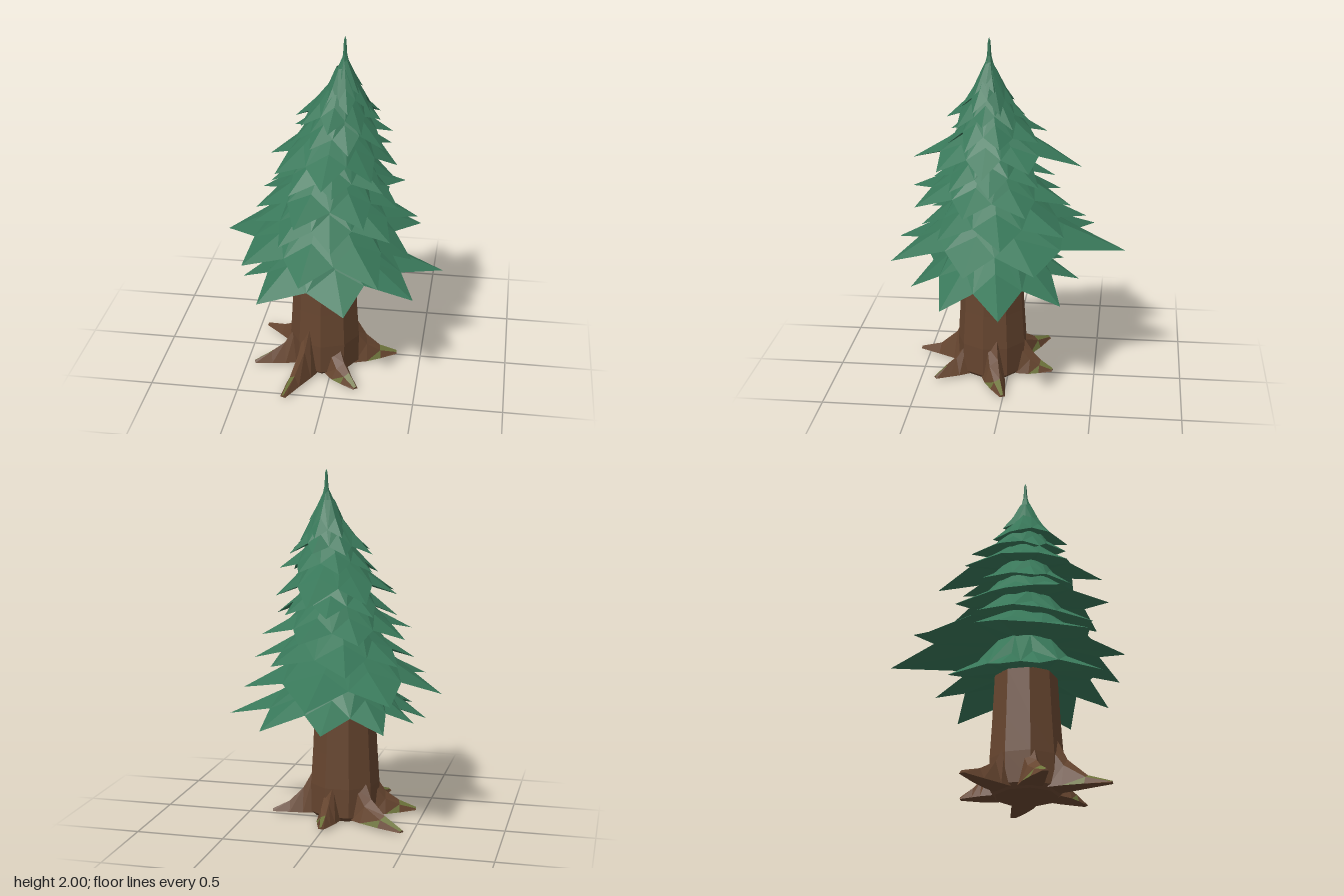
import * as THREE from 'three';

const material = (color) =>
  new THREE.MeshStandardMaterial({ color, flatShading: true, side: THREE.DoubleSide });
const needles = material(0x387759);
const bark = material(0x66452f);
const moss = material(0x6c733a);

// Small seeded generator, -1 to 1
let seed = 7;
const jitter = () => {
  seed = (seed * 16807) % 2147483647;
  return (seed / 2147483647) * 2 - 1;
};

// The trunk stands straight below and sways to its left through the boughs
const axisX = (y) => -0.05 + 0.108 * THREE.MathUtils.smoothstep(y, 0.6, 1.8);
const AXIS_Z = 0.1;
const polar = (angle, radius, y, centreY = y) => [
  axisX(centreY) + Math.sin(angle) * radius, y, AXIS_Z + Math.cos(angle) * radius];

function facesMesh(name, triangles, mat) {
  const geometry = new THREE.BufferGeometry();
  geometry.setAttribute('position', new THREE.Float32BufferAttribute(triangles.flat(2), 3));
  geometry.computeVertexNormals();
  const mesh = new THREE.Mesh(geometry, mat);
  mesh.name = name;
  return mesh;
}

// Round shape about the swaying axis
function leaningLathe(name, profile, sides, mat) {
  const geometry = new THREE.LatheGeometry(profile.map(([r, y]) => new THREE.Vector2(r, y)), sides);
  const p = geometry.attributes.position;
  for (let i = 0; i < p.count; i++) {
    p.setX(i, p.getX(i) + axisX(p.getY(i)));
    p.setZ(i, p.getZ(i) + AXIS_Z);
  }
  geometry.computeVertexNormals();
  const mesh = new THREE.Mesh(geometry, mat);
  mesh.name = name;
  return mesh;
}

// Star-shaped skirt of drooping boughs: one radius per pointed tip,
// evenly turned from the start angle unless angles are given
function boughTier({ y, rise, top, radii, start, angles }) {
  const n = radii.length;
  const turns = angles ?? radii.map((_, i) => start + (i * 360) / n + jitter() * 4);
  const boughs = radii.map((radius, i) => {
    const a = THREE.MathUtils.degToRad(turns[i]);
    const next = THREE.MathUtils.degToRad(i + 1 < n ? turns[i + 1] : turns[0] + 360);
    const valleyR = 0.355 * (radius + radii[(i + 1) % n]);
    return {
      tip: polar(a, radius, y + jitter() * 0.02, y),
      ridge: polar(a, radius * 0.54, y + rise * 0.54, y),
      crown: polar(a, top, y + rise, y),
      under: polar(a, top * 0.8, y + rise * 0.36, y),
      valley: polar((a + next) / 2, valleyR, y + rise * (0.26 + jitter() * 0.05), y),
    };
  });
  const faces = [];
  boughs.forEach((b, i) => {
    const next = boughs[(i + 1) % n];
    const v = b.valley;
    faces.push(
      [b.tip, v, b.ridge], [v, next.tip, next.ridge],
      [b.ridge, v, b.crown], [v, next.ridge, next.crown], [v, next.crown, b.crown],
      [v, b.tip, b.under], [next.tip, v, next.under], [v, b.under, next.under]);
  });
  return facesMesh('boughTier', faces, needles);
}

// Ridged root running from the trunk to a pointed toe, with moss on one flank
function root(angleDegrees, length, height) {
  const a = THREE.MathUtils.degToRad(angleDegrees);
  const stations = [
    [0.17, height, 0.066], [0.24, height * 0.55, 0.06],
    [0.22 + (length - 0.22) * 0.5, 0.075, 0.042], [length, 0.028, 0.016],
  ].map(([r, h, w], i) => {
    const bend = a + (i - 1) * 0.04;
    const [x, , z] = polar(bend, r, 0);
    const sx = Math.cos(bend) * w, sz = -Math.sin(bend) * w;
    return {
      right: [x - sx, 0.014, z - sz], left: [x + sx, 0.014, z + sz],
      rightTop: [x - sx * 0.5, h * 0.75, z - sz * 0.5],
      leftTop: [x + sx * 0.3, h, z + sz * 0.3],
    };
  });
  const loop = ['right', 'left', 'leftTop', 'rightTop'];
  const wood = [], green = [];
  for (let i = 0; i < 3; i++) {
    const s = stations[i], t = stations[i + 1];
    loop.forEach((key, k) => {
      const other = loop[(k + 1) % 4];
      // Moss covers the top of the toe and part of the flank above it
      const toeTop = i === 2 && k === 2;
      const flank = i === 1 && k === 3;
      (toeTop ? green : wood).push([s[key], s[other], t[key]]);
      (toeTop || flank ? green : wood).push([s[other], t[other], t[key]]);
    });
  }
  const e = stations[3];
  wood.push([e.right, e.left, e.leftTop], [e.right, e.leftTop, e.rightTop]);
  const group = new THREE.Group();
  group.name = 'root';
  group.add(facesMesh('rootWood', wood, bark), facesMesh('rootMoss', green, moss));
  return group;
}

export function createModel() {
  const tree = new THREE.Group();
  tree.name = 'pineTree';

  // Trunk, continuing up inside the boughs
  tree.add(leaningLathe('trunk',
    [[0, 0], [0.17, 0.003], [0.2, 0.03], [0.203, 0.2], [0.19, 0.4], [0.176, 0.68], [0.13, 1.15], [0.04, 1.75]],
    9, bark));

  // Roots: direction, reach, height on the trunk
  const roots = new THREE.Group();
  roots.name = 'roots';
  [[30, 0.38, 0.19], [99, 0.42, 0.28], [167, 0.36, 0.23],
    [228, 0.5, 0.26], [282, 0.42, 0.24], [334, 0.485, 0.32]]
    .forEach((r) => roots.add(root(...r)));
  tree.add(roots);

  // Foliage, from the lowest skirt up
  const foliage = new THREE.Group();
  foliage.name = 'foliage';
  [
    { y: 0.58, rise: 0.29, top: 0.18, angles: [20, 66, 99, 137, 178, 218, 255, 282, 323],
      radii: [0.48, 0.57, 0.67, 0.57, 0.5, 0.5, 0.44, 0.47, 0.53] },
    { y: 0.775, rise: 0.27, top: 0.16, angles: [-7, 34, 78, 119, 178, 214, 260, 311],
      radii: [0.555, 0.63, 0.5, 0.585, 0.76, 0.69, 0.595, 0.55] },
    { y: 0.93, rise: 0.24, top: 0.15, start: 12, radii: [0.4, 0.45, 0.5, 0.52, 0.55, 0.45, 0.42, 0.44] },
    { y: 1.07, rise: 0.23, top: 0.14, start: -15, radii: [0.49, 0.46, 0.4, 0.45, 0.47, 0.43, 0.41, 0.44] },
    { y: 1.195, rise: 0.22, top: 0.12, start: 8, radii: [0.32, 0.35, 0.34, 0.36, 0.36, 0.35, 0.35, 0.34] },
    { y: 1.305, rise: 0.22, top: 0.1, start: -4, radii: [0.44, 0.35, 0.33, 0.36, 0.51, 0.42, 0.37, 0.39] },
    { y: 1.43, rise: 0.22, top: 0.08, start: 20, radii: [0.24, 0.27, 0.29, 0.3, 0.33, 0.29, 0.27, 0.27] },
    { y: 1.53, rise: 0.22, top: 0.06, start: -8, radii: [0.25, 0.21, 0.21, 0.24, 0.23, 0.23, 0.26, 0.25] },
    { y: 1.62, rise: 0.21, top: 0.04, start: 15, radii: [0.16, 0.17, 0.16, 0.16, 0.17, 0.15, 0.16] },
    { y: 1.7, rise: 0.18, top: 0.015, start: -12, radii: [0.1, 0.11, 0.1, 0.09, 0.1, 0.1] },
  ].forEach((tier) => foliage.add(boughTier(tier)));

  // Pointed leader at the very top
  foliage.add(leaningLathe('topSpike',
    [[0.07, 1.74], [0.025, 1.85], [0.012, 1.9], [0.007, 1.98], [0, 2]], 6, needles));
  tree.add(foliage);
  return tree;
}
